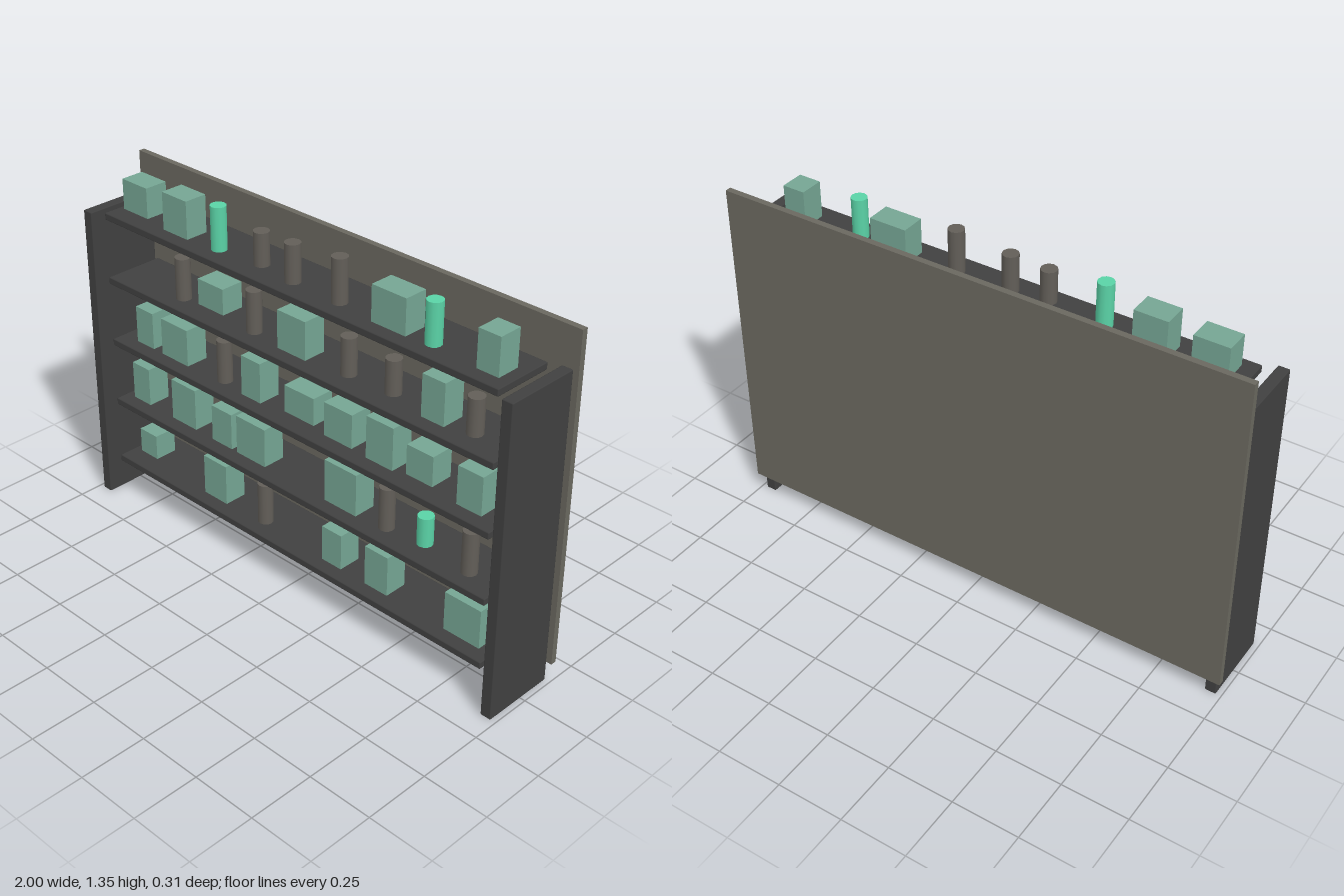
import * as THREE from 'three';
import { RoundedBoxGeometry } from 'three/addons/geometries/RoundedBoxGeometry.js';

const mat = (name, color) => {
  const m = new THREE.MeshStandardMaterial({ color });
  m.name = name;
  return m;
};

export function createModel() {
  const frame = mat('charcoal frame', 0x404040);
  const backing = mat('warm grey backing', 0x6a685f);
  const carton = mat('sage carton', 0x75a593);
  const dark = mat('dark grey can', 0x625e58);
  const bright = mat('mint can', 0x5ad2a6);

  const group = new THREE.Group();
  group.name = 'stockedShelf';
  const add = (name, geometry, material, x, y, z, parent = group) => {
    const mesh = new THREE.Mesh(geometry, material);
    mesh.name = name;
    mesh.position.set(x, y, z);
    parent.add(mesh);
  };

  // Back panel and the two uprights
  add('backPanel', new THREE.BoxGeometry(2, 1.25, 0.023), backing, 0, 0.7, -0.1435);
  for (const [name, side] of [['leftUpright', 1], ['rightUpright', -1]]) {
    add(name, new RoundedBoxGeometry(0.042, 1.185, 0.287, 1, 0.004), frame, side * 0.959, 0.5925, 0.0115);
  }

  // Goods per shelf, bottom to top.
  // Carton: ['box', x, width, height, lift]; can: ['dark' or 'bright', x, height, lift]
  const rows = [
    [['box', -0.79, 0.091, 0.099, 0.024], ['box', -0.414, 0.118, 0.16], ['dark', -0.176, 0.163],
      ['box', 0.182, 0.091, 0.139], ['box', 0.392, 0.104, 0.155], ['box', 0.774, 0.152, 0.15]],
    [['box', -0.813, 0.091, 0.15], ['box', -0.575, 0.128, 0.163], ['box', -0.37, 0.102, 0.142],
      ['box', -0.22, 0.144, 0.152], ['box', 0.22, 0.147, 0.163], ['dark', 0.41, 0.163],
      ['bright', 0.58, 0.11, 0.019], ['dark', 0.77, 0.163]],
    [['box', -0.775, 0.091, 0.144], ['box', -0.612, 0.139, 0.144], ['dark', -0.374, 0.163],
      ['box', -0.213, 0.094, 0.155], ['box', 0.024, 0.139, 0.104, 0.019], ['box', 0.206, 0.128, 0.128, 0.005],
      ['box', 0.393, 0.118, 0.16], ['box', 0.567, 0.112, 0.112, 0.016], ['box', 0.775, 0.102, 0.144]],
    [['dark', -0.58, 0.16], ['box', -0.408, 0.126, 0.099, 0.024], ['dark', -0.218, 0.16],
      ['box', -0.012, 0.131, 0.144], ['dark', 0.227, 0.142, 0.008], ['dark', 0.422, 0.128, 0.016],
      ['box', 0.611, 0.094, 0.155], ['dark', 0.76, 0.134, 0.01]],
    [['box', -0.79, 0.128, 0.115, 0.013], ['box', -0.58, 0.123, 0.142], ['bright', -0.385, 0.163],
      ['dark', -0.176, 0.123, 0.013], ['dark', -0.03, 0.142], ['dark', 0.182, 0.163],
      ['box', 0.417, 0.144, 0.131], ['bright', 0.58, 0.152], ['box', 0.815, 0.086, 0.137]],
  ];

  rows.forEach((row, i) => {
    const top = 0.172 + i * 0.254;
    const tier = new THREE.Group();
    tier.name = `tier${i + 1}`;
    group.add(tier);

    // Shelf board
    add('shelfBoard', new RoundedBoxGeometry(1.8, 0.027, 0.235, 1, 0.004), frame, 0, top - 0.0135, 0.006, tier);

    // Cartons and cans standing on the board
    for (const [kind, x, ...size] of row) {
      if (kind === 'box') {
        const [w, h, lift = 0] = size;
        add('carton', new THREE.BoxGeometry(w, h, 0.09), carton, x, top + lift + h / 2, 0.025, tier);
      } else {
        const [h, lift = 0] = size;
        add('can', new THREE.CylinderGeometry(0.029, 0.029, h, 12), kind === 'dark' ? dark : bright,
          x, top + lift + h / 2, 0.042, tier);
      }
    }
  });

  return group;
}
